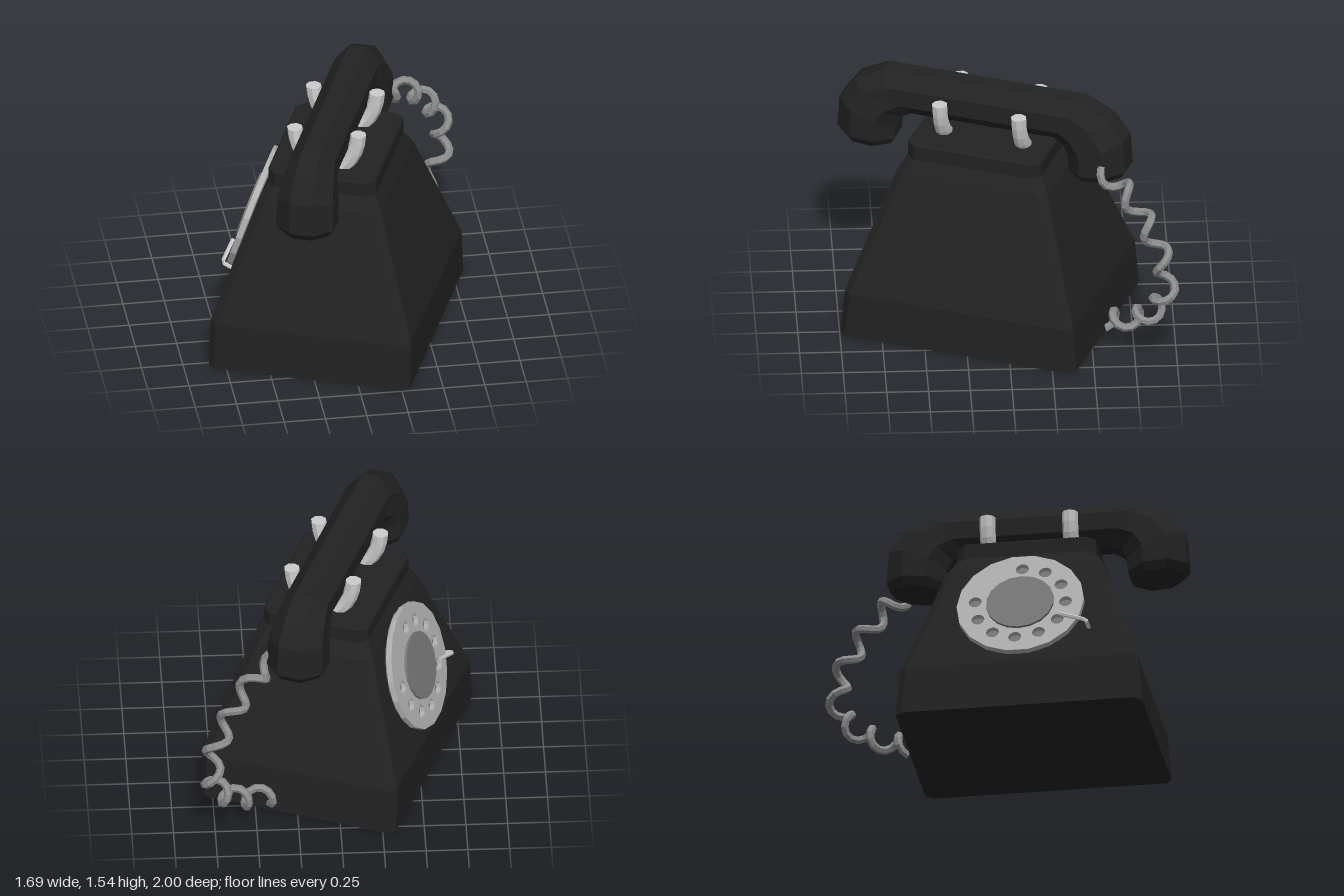
import * as THREE from 'three';

const mat = (color) => new THREE.MeshStandardMaterial({ color, flatShading: true, side: THREE.DoubleSide });
const black = mat(0x222222), darkGrey = mat(0x777777), cordGrey = mat(0x8c8c8c);
const plateGrey = mat(0xb0b0b0), light = mat(0xcccccc);

function add(parent, name, geometry, material) {
  const mesh = new THREE.Mesh(geometry, material);
  mesh.name = name;
  parent.add(mesh);
  return mesh;
}

// Skin closed rings of equal length into a faceted solid with end caps.
function loft(rings) {
  const pos = [], n = rings[0].length;
  const tri = (...pts) => pts.forEach((p) => pos.push(p.x, p.y, p.z));
  for (let i = 0; i < rings.length - 1; i++) {
    for (let j = 0; j < n; j++) {
      const k = (j + 1) % n, lo = rings[i], hi = rings[i + 1];
      tri(lo[j], hi[j], lo[k]);
      tri(hi[j], hi[k], lo[k]);
    }
  }
  const first = rings[0], last = rings[rings.length - 1];
  for (let j = 1; j < n - 1; j++) {
    tri(first[0], first[j], first[j + 1]);
    tri(last[0], last[j + 1], last[j]);
  }
  const g = new THREE.BufferGeometry();
  g.setAttribute('position', new THREE.Float32BufferAttribute(pos, 3));
  g.computeVertexNormals();
  return g;
}

// Rectangle with cut corners at height y.
function cutRect(y, hx, hz, c) {
  return [[hx, hz - c], [hx - c, hz], [c - hx, hz], [-hx, hz - c],
    [-hx, c - hz], [c - hx, -hz], [hx - c, -hz], [hx, c - hz]]
    .map(([x, z]) => new THREE.Vector3(x, y, z));
}

// Eight-sided handset section between an outer and an inner profile point.
function handsetRing([zo, yo, zi, yi, w], side) {
  const ring = [], r = 1 / Math.cos(Math.PI / 8);
  for (let i = 0; i < 8; i++) {
    const a = Math.PI / 8 + i * Math.PI / 4;
    const k = r * Math.cos(a) / 2;
    ring.push(new THREE.Vector3(
      r * Math.sin(a) * w,
      (yo + yi) / 2 + k * (yo - yi),
      side * ((zo + zi) / 2 + k * (zo - zi))));
  }
  return ring;
}

const circle = (r, n, cx = 0, cy = 0) => Array.from({ length: n }, (_, i) => {
  const a = i / n * Math.PI * 2;
  return new THREE.Vector2(cx + r * Math.cos(a), cy + r * Math.sin(a));
});

// Coil wound around a path that lies in a vertical plane.
class Coil extends THREE.Curve {
  constructor(path, radius, turns, planeNormal) {
    super();
    Object.assign(this, { path, radius, turns, planeNormal });
  }
  getPoint(t, target = new THREE.Vector3()) {
    const a = t * this.turns * Math.PI * 2;
    const b = new THREE.Vector3().crossVectors(this.path.getTangentAt(t), this.planeNormal);
    return target.copy(this.path.getPointAt(t))
      .addScaledVector(this.planeNormal, Math.sin(a) * this.radius)
      .addScaledVector(b, -Math.cos(a) * this.radius);
  }
}

function createDial() {
  const dial = new THREE.Group();
  dial.name = 'dial';
  const disc = (name, r, h, z, m) => {
    const g = new THREE.CylinderGeometry(r, r, h, 18).rotateX(Math.PI / 2);
    add(dial, name, g, m).position.z = z;
  };
  disc('dialBacking', 0.375, 0.03, 0.0, darkGrey);

  // Finger plate with ten holes and a gap at the upper rear
  const shape = new THREE.Shape(circle(0.385, 18));
  for (let i = 0; i < 10; i++) {
    const a = THREE.MathUtils.degToRad(90 - i * 30.7);
    shape.holes.push(new THREE.Path(circle(0.04, 10, 0.275 * Math.cos(a), 0.275 * Math.sin(a))));
  }
  add(dial, 'fingerPlate', new THREE.ExtrudeGeometry(shape, { depth: 0.035, bevelEnabled: false }), plateGrey)
    .position.z = 0.01;
  disc('dialHub', 0.205, 0.05, 0.035, darkGrey);

  // Finger stop hooked over the rim
  const stop = new THREE.CurvePath();
  const pts = [[0.24, -0.12, 0.06], [0.41, -0.19, 0.065], [0.42, -0.195, -0.01]]
    .map((p) => new THREE.Vector3(...p));
  stop.add(new THREE.LineCurve3(pts[0], pts[1]));
  stop.add(new THREE.LineCurve3(pts[1], pts[2]));
  add(dial, 'fingerStop', new THREE.TubeGeometry(stop, 8, 0.013, 5), light);
  return dial;
}

export function createModel() {
  const model = new THREE.Group();
  model.name = 'rotaryTelephone';

  // The telephone stands turned on its base
  const phone = new THREE.Group();
  phone.name = 'telephone';
  phone.position.set(-0.013, 0, 0.09);
  phone.rotation.y = -0.375;
  model.add(phone);

  // Body: plinth, sloped sides, shoulder, neck
  add(phone, 'body', loft([
    cutRect(0, 0.617, 0.745, 0.04),
    cutRect(0.29, 0.615, 0.72, 0.045),
    cutRect(1.03, 0.375, 0.475, 0.05),
    cutRect(1.12, 0.33, 0.42, 0.05),
    cutRect(1.21, 0.33, 0.42, 0.05),
    cutRect(1.22, 0.32, 0.41, 0.05),
  ]), black);

  // Dial on the sloped side
  const dial = createDial();
  dial.position.set(-0.482, 0.7, 0);
  dial.rotation.set(-0.314, -Math.PI / 2, 0, 'YXZ');
  phone.add(dial);

  // Curved cradle prongs
  for (const sx of [-1, 1]) {
    for (const sz of [-1, 1]) {
      const z = sz * 0.25;
      const curve = new THREE.QuadraticBezierCurve3(
        new THREE.Vector3(sx * 0.06, 1.18, z),
        new THREE.Vector3(sx * 0.185, 1.27, z),
        new THREE.Vector3(sx * 0.195, 1.445, z));
      add(phone, 'cradleProng', new THREE.TubeGeometry(curve, 5, 0.048, 8), light);
      const cap = add(phone, 'prongTip', new THREE.CircleGeometry(0.048, 8).rotateX(-Math.PI / 2), light);
      cap.position.set(sx * 0.195, 1.445, z);
    }
  }

  // Handset: half profile [outer z, outer y, inner z, inner y, half width], mirrored
  const half = [
    [0.875, 1.07, 0.575, 1.045, 0.145],
    [0.91, 1.12, 0.55, 1.09, 0.175],
    [0.895, 1.32, 0.545, 1.18, 0.172],
    [0.8, 1.45, 0.51, 1.24, 0.155],
    [0.63, 1.54, 0.45, 1.27, 0.135],
  ];
  const handset = add(phone, 'handset', loft([
    ...half.map((s) => handsetRing(s, -1)),
    ...half.slice().reverse().map((s) => handsetRing(s, 1)),
  ]), black);
  handset.position.z = 0.03;

  // Coiled cord from the handset to the foot of the body
  const path = new THREE.CatmullRomCurve3([
    [0.37, 1.14, -0.56], [0.52, 1.08, -0.69], [0.66, 0.92, -0.82], [0.76, 0.73, -0.91],
    [0.78, 0.55, -0.93], [0.72, 0.38, -0.87], [0.58, 0.24, -0.74], [0.4, 0.13, -0.57],
  ].map((p) => new THREE.Vector3(...p)));
  const coil = new Coil(path, 0.055, 7, new THREE.Vector3(0.68, 0, 0.73).normalize());
  add(model, 'cord', new THREE.TubeGeometry(coil, 70, 0.025, 6), cordGrey);

  return model;
}
